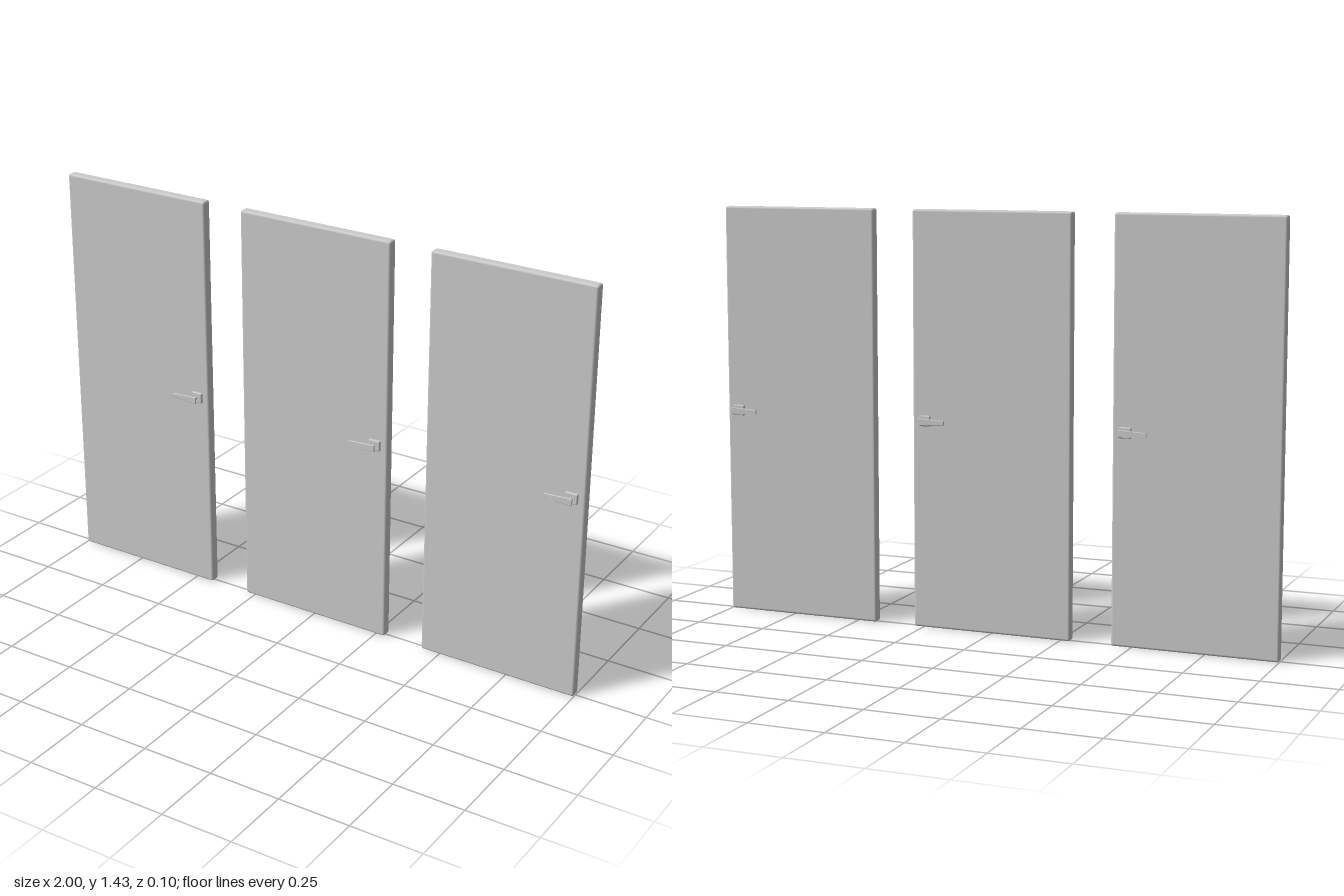
import * as THREE from 'three';
import { RoundedBoxGeometry } from 'three/addons/geometries/RoundedBoxGeometry.js';

const WIDTH = 0.57, HEIGHT = 1.43, THICK = 0.036;
const HANDLE_X = 0.24, HANDLE_Y = 0.717;

export function createModel() {
  const model = new THREE.Group();
  const material = new THREE.MeshStandardMaterial({ color: 0xcccccc });

  const panelGeometry = new RoundedBoxGeometry(WIDTH, HEIGHT, THICK, 2, 0.008);
  const roseGeometry = new RoundedBoxGeometry(0.042, 0.036, 0.016, 2, 0.003);
  const neckGeometry = new THREE.CylinderGeometry(0.005, 0.005, 0.026, 16).rotateX(Math.PI / 2);

  // Lever blade: taller at the neck, tapering towards its free end
  const blade = new THREE.Shape();
  blade.moveTo(0.014, -0.011);
  blade.lineTo(0.014, 0.011);
  blade.lineTo(-0.01, 0.011);
  blade.lineTo(-0.082, 0.007);
  blade.lineTo(-0.082, -0.007);
  blade.lineTo(-0.01, -0.011);
  blade.closePath();
  const leverGeometry = new THREE.ExtrudeGeometry(blade, {
    depth: 0.004, bevelEnabled: true, bevelThickness: 0.001, bevelSize: 0.001, bevelOffset: -0.001, bevelSegments: 1,
  }).translate(0, 0, -0.002);

  const add = (parent, name, geometry, x, y, z) => {
    const mesh = new THREE.Mesh(geometry, material);
    mesh.name = name;
    mesh.position.set(x, y, z);
    parent.add(mesh);
  };

  // Three identical doors in a row
  ['rightDoor', 'middleDoor', 'leftDoor'].forEach((name, i) => {
    const door = new THREE.Group();
    door.name = name;
    door.position.x = (i - 1) * 0.715;
    add(door, 'panel', panelGeometry, 0, HEIGHT / 2, 0);

    // A handle on each face, both levers pointing the same way
    for (const side of [1, -1]) {
      const handle = new THREE.Group();
      handle.name = side > 0 ? 'frontHandle' : 'backHandle';
      handle.position.set(HANDLE_X, HANDLE_Y, 0);
      add(handle, 'rose', roseGeometry, 0, 0, side * 0.02);
      add(handle, 'neck', neckGeometry, 0, 0, side * 0.036);
      add(handle, 'lever', leverGeometry, 0, 0, side * 0.049);
      door.add(handle);
    }
    model.add(door);
  });

  return model;
}
